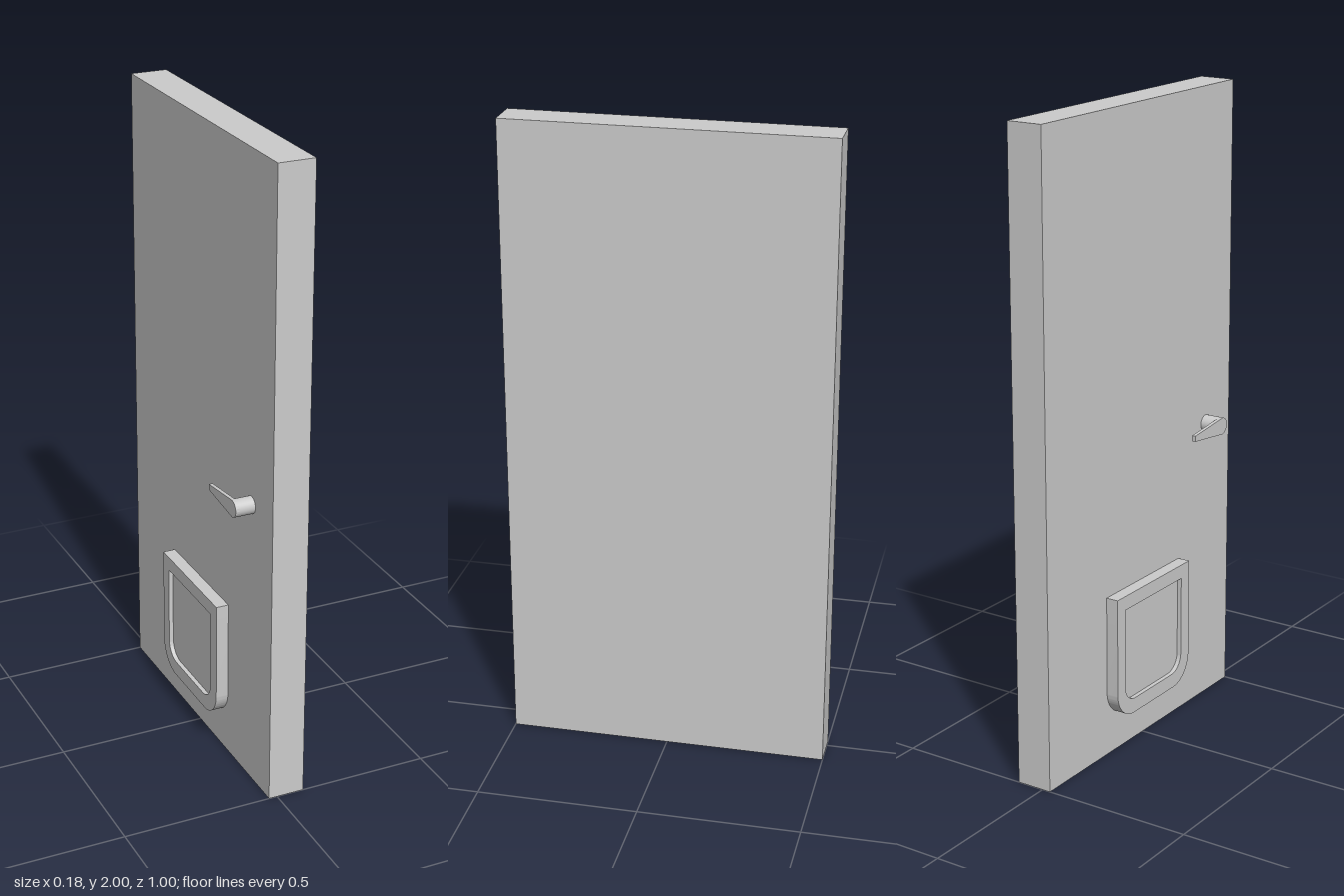
import * as THREE from 'three';
import { toCreasedNormals } from 'three/addons/utils/BufferGeometryUtils.js';

const material = new THREE.MeshStandardMaterial({ color: 0xcccccc });
const FACE = -0.027; // x of the door face that carries the fittings

function addMesh(parent, name, geometry) {
  const mesh = new THREE.Mesh(geometry, material);
  mesh.name = name;
  parent.add(mesh);
  return mesh;
}

// Extrudes an outline drawn in (z, y) outwards along -x, between two x values
function extrudeOut(shape, xStart, xEnd) {
  const geometry = new THREE.ExtrudeGeometry(shape, {
    depth: xStart - xEnd, bevelEnabled: false, curveSegments: 16,
  });
  geometry.rotateY(-Math.PI / 2).translate(xStart, 0, 0);
  return toCreasedNormals(geometry, 0.6);
}

// Panel outline with a square top and rounded bottom corners
function flapOutline(Type, z0, z1, y0, y1, r) {
  const s = new Type();
  s.moveTo(z0, y1);
  s.lineTo(z0, y0 + r);
  s.absarc(z0 + r, y0 + r, r, Math.PI, Math.PI * 1.5, false);
  s.lineTo(z1 - r, y0);
  s.absarc(z1 - r, y0 + r, r, -Math.PI / 2, 0, false);
  s.lineTo(z1, y1);
  s.closePath();
  return s;
}

export function createModel() {
  const model = new THREE.Group();
  model.name = 'door';

  // Door slab
  addMesh(model, 'doorPanel', new THREE.BoxGeometry(0.115, 2, 1)).position.set(FACE + 0.0575, 1, 0);

  // Pet flap: raised frame around a recessed panel
  const petFlap = new THREE.Group();
  petFlap.name = 'petFlap';
  model.add(petFlap);
  const opening = [-0.155, 0.16, 0.165, 0.475, 0.055];
  const frame = flapOutline(THREE.Shape, -0.197, 0.205, 0.118, 0.52, 0.09);
  frame.holes.push(flapOutline(THREE.Path, ...opening));
  addMesh(petFlap, 'flapFrame', extrudeOut(frame, FACE, -0.067));
  addMesh(petFlap, 'flapPanel', extrudeOut(flapOutline(THREE.Shape, ...opening), FACE, -0.053));

  // Handle: round stem with a tapering lever
  const handle = new THREE.Group();
  handle.name = 'handle';
  model.add(handle);
  const r = 0.027, z = 0.359, y = 0.93;
  const stem = new THREE.CylinderGeometry(r, r, 0.053, 32).rotateZ(Math.PI / 2);
  addMesh(handle, 'handleStem', stem).position.set(FACE - 0.0265, y, z);
  const lever = new THREE.Shape();
  lever.moveTo(0.2, y - 0.009);
  lever.lineTo(z, y - r);
  lever.absarc(z, y, r, -Math.PI / 2, Math.PI / 2, false);
  lever.lineTo(0.2, y + 0.009);
  lever.closePath();
  addMesh(handle, 'handleLever', extrudeOut(lever, -0.078, -0.09));

  return model;
}
